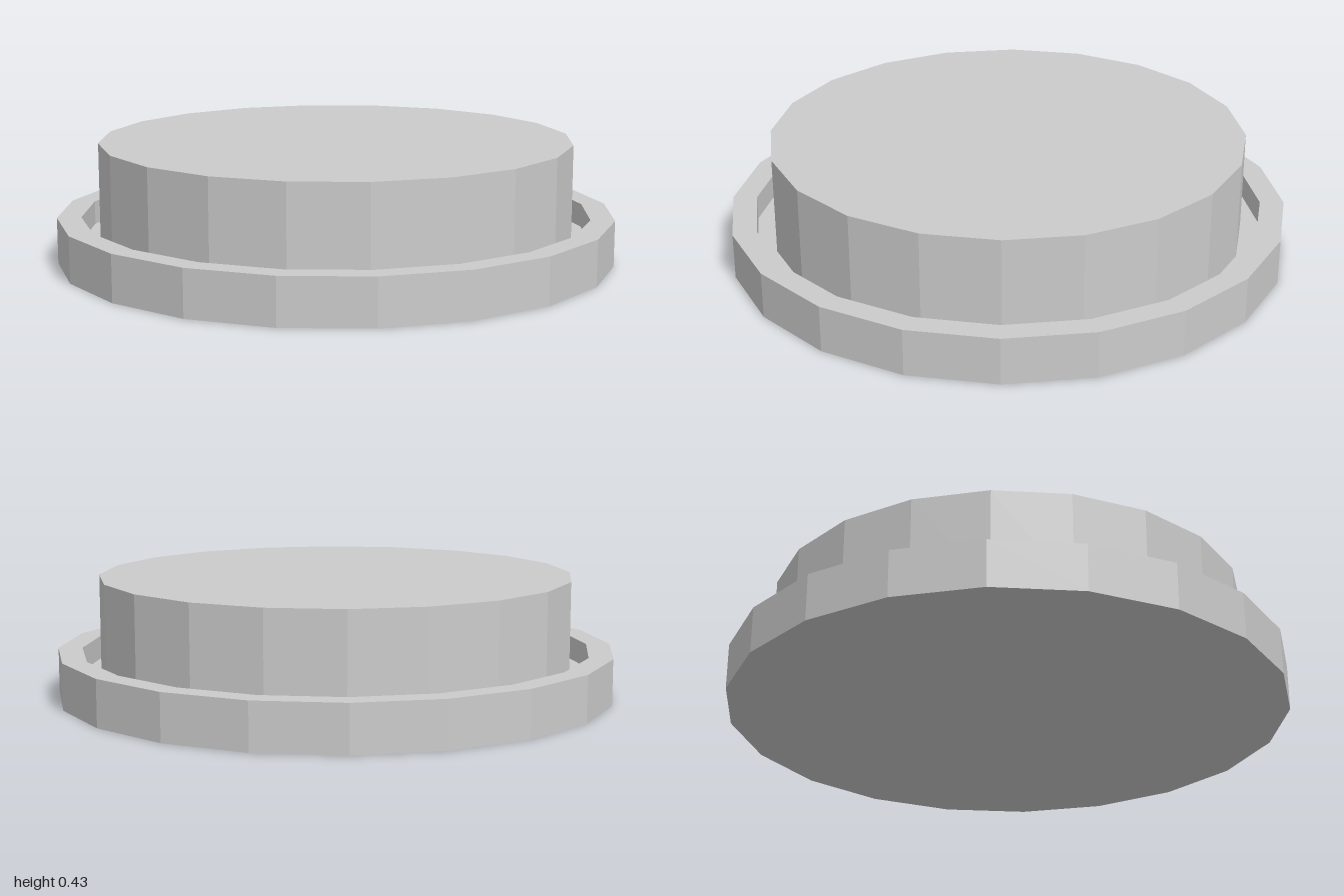
import * as THREE from 'three';

const SIDES = 20;
const FLOOR = 0.08; // height of the groove floor

export function createModel() {
  const group = new THREE.Group();
  const material = new THREE.MeshStandardMaterial({ color: 0xcccccc, flatShading: true });

  // Turn a profile of [radius, height] points, running up the outside and in
  const turn = (name, profile) => {
    const points = profile.map(([r, y]) => new THREE.Vector2(r, y));
    const mesh = new THREE.Mesh(new THREE.LatheGeometry(points, SIDES), material);
    mesh.name = name;
    group.add(mesh);
  };

  // Shallow dish: flat underside, upright rim and groove floor
  turn('rimmedBase', [[0, 0], [1, 0], [1, 0.165], [0.914, 0.165], [0.914, FLOOR], [0.848, FLOOR]]);

  // Raised disc standing inside the rim
  turn('raisedDisc', [[0.848, FLOOR], [0.848, 0.43], [0, 0.43]]);

  return group;
}
